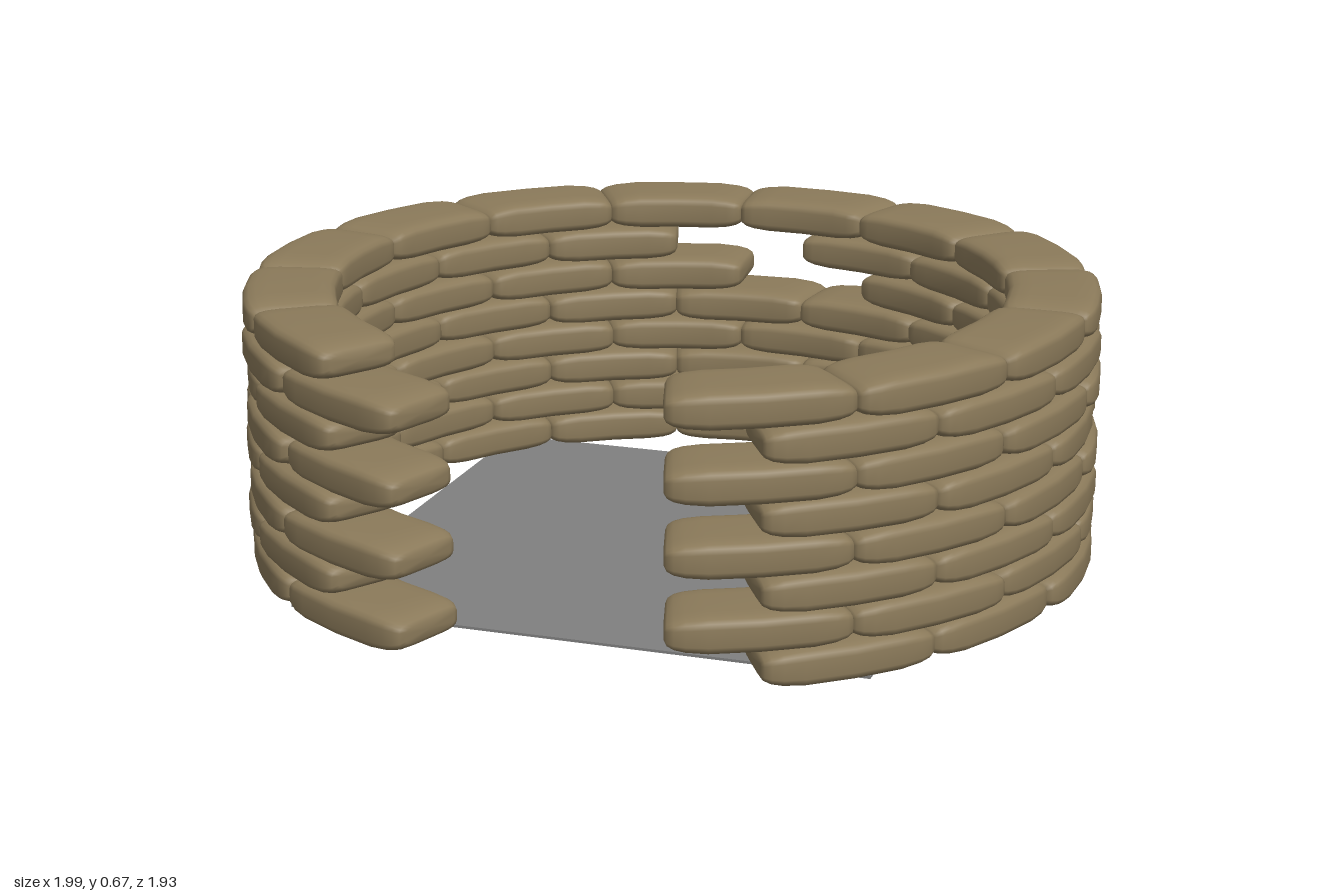
import * as THREE from 'three';

const STEP = THREE.MathUtils.degToRad(24); // angle taken by one brick
const INNER = 0.775, OUTER = 0.99, CENTRE_Z = 0.027;
const ROWS = 8, ROW_PITCH = 0.0813, BRICK_HEIGHT = 0.087, FIRST_ROW_Y = 0.057;
const RING = 20;

// [position along half the brick, height scale, depth scale]
const HALF = [[1, 0.42, 0.74], [0.97, 0.62, 0.88], [0.9, 0.78, 0.95], [0.78, 0.9, 0.99], [0.55, 1, 1]];
const STATIONS = [
  ...HALF.map(([t, h, d]) => [-t, h, d]),
  [0, 1, 1],
  ...HALF.slice().reverse(),
];

let seed = 7;
function jitter(amount) {
  seed = (seed * 16807) % 2147483647;
  return (seed / 2147483647 - 0.5) * 2 * amount;
}

// Pillow-edged brick bent around the ring; angle 0 points to the back
function brickGeometry(angle, y) {
  const positions = [], index = [];
  const radius = (INNER + OUTER) / 2 + jitter(0.005);
  const depth = (OUTER - INNER) / 2, height = BRICK_HEIGHT / 2;
  const skew = jitter(0.006);
  const soft = (v) => Math.sign(v) * Math.abs(v) ** 0.42;

  const addPoint = (t, dr, dy) => {
    const a = angle + t * STEP * 0.505;
    const r = radius + skew * t + dr;
    positions.push(r * Math.sin(a), y + dy, CENTRE_Z - r * Math.cos(a));
  };
  for (const [t, h, d] of STATIONS) {
    for (let k = 0; k < RING; k++) {
      const p = (k / RING) * Math.PI * 2 + Math.PI / RING;
      addPoint(t, depth * d * soft(Math.cos(p)), height * h * soft(Math.sin(p)));
    }
  }
  const last = STATIONS.length - 1;
  const startCap = positions.length / 3, endCap = startCap + 1;
  addPoint(-1.01, 0, 0);
  addPoint(1.01, 0, 0);

  for (let k = 0; k < RING; k++) {
    const n = (k + 1) % RING;
    for (let s = 0; s < last; s++) {
      const a = s * RING + k, b = s * RING + n;
      index.push(a, b, a + RING, b, b + RING, a + RING);
    }
    index.push(startCap, n, k, endCap, last * RING + k, last * RING + n);
  }
  const geometry = new THREE.BufferGeometry();
  geometry.setAttribute('position', new THREE.Float32BufferAttribute(positions, 3));
  geometry.setIndex(index);
  geometry.computeVertexNormals();
  return geometry;
}

export function createModel() {
  const model = new THREE.Group();
  model.name = 'roundBrickWall';
  const stone = new THREE.MeshStandardMaterial({ color: 0x8b7a5a });
  const slab = new THREE.MeshStandardMaterial({ color: 0x808080 });

  // Thin square floor
  const floor = new THREE.Mesh(new THREE.BoxGeometry(1.35, 0.006, 1.35), slab);
  floor.name = 'floor';
  floor.position.set(0, 0.003, CENTRE_Z);
  model.add(floor);

  // Courses in running bond, open at the front, with two bricks missing at the back
  for (let row = 0; row < ROWS; row++) {
    const course = new THREE.Group();
    course.name = `course${row + 1}`;
    const side = row % 2 ? 1 : -1;
    for (let i = -6; i <= 6; i++) {
      if (i === 0 && (row === 5 || row === 6)) continue;
      const angle = i * STEP + side * STEP / 4;
      const brick = new THREE.Mesh(brickGeometry(angle, FIRST_ROW_Y + row * ROW_PITCH), stone);
      brick.name = 'brick';
      course.add(brick);
    }
    model.add(course);
  }
  return model;
}
